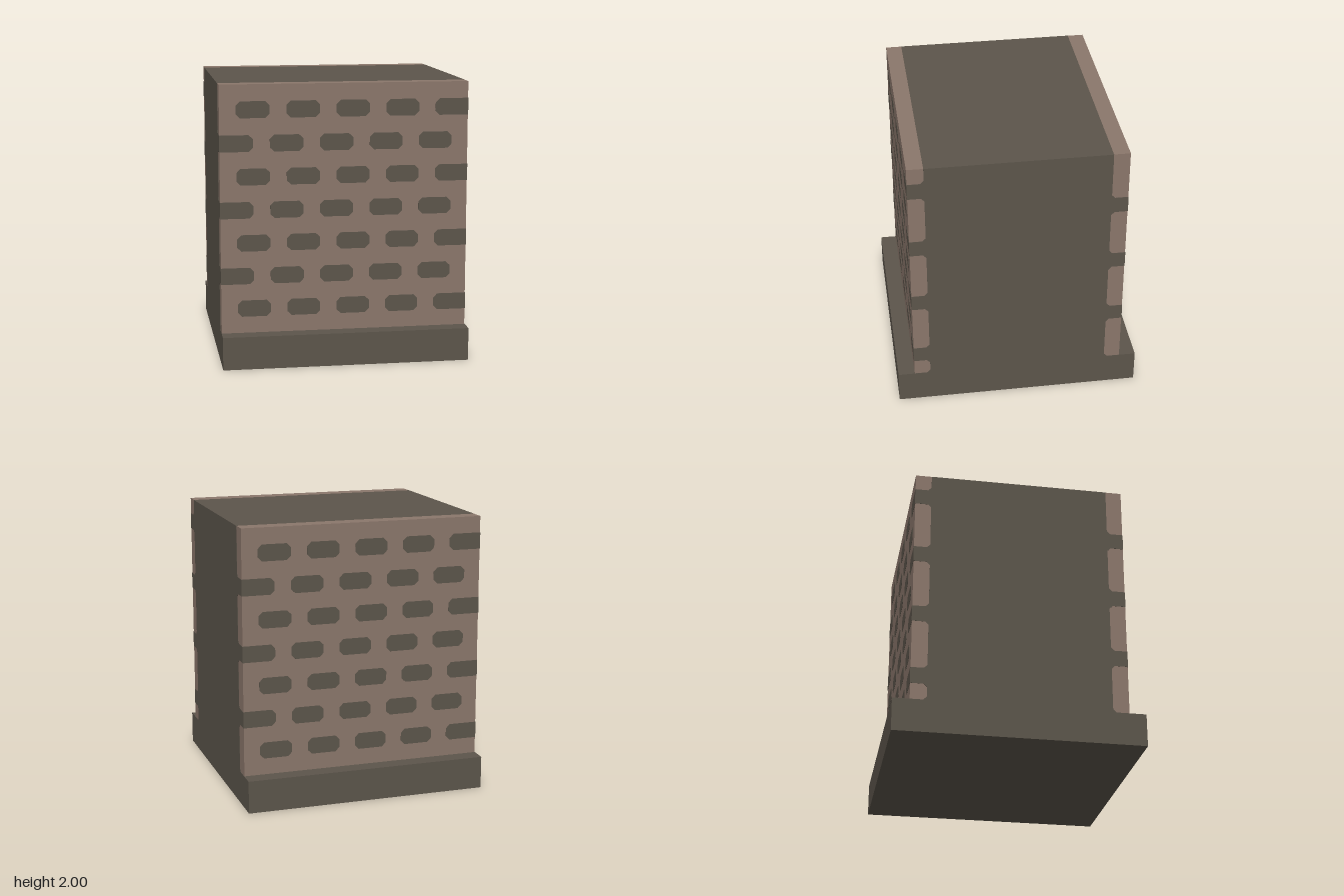
import * as THREE from 'three';

const U = 2 / 17;   // brick module: bricks are 2U wide and 1U high
const T = 0.002;    // thickness of the painted brick plates
const C = 0.25;     // corner cut of a brick, in modules
const S = 0.2;      // flare of a brick where it meets the side wall, in modules

const stone = new THREE.MeshStandardMaterial({ color: 0x5c554b });
stone.name = 'darkStone';
const mortar = new THREE.MeshStandardMaterial({ color: 0x8b776b });
mortar.name = 'lightMortar';

function box(name, material, w, h, d, y, z = 0) {
  const mesh = new THREE.Mesh(new THREE.BoxGeometry(w, h, d), material);
  mesh.name = name;
  mesh.position.set(0, y, z);
  return mesh;
}

// thin plate from a list of [x, y] corners given in modules
function plate(name, points) {
  const shape = new THREE.Shape(points.map(([x, y]) => new THREE.Vector2(x * U, y * U)));
  const geometry = new THREE.ExtrudeGeometry(shape, { depth: T, bevelEnabled: false });
  const mesh = new THREE.Mesh(geometry, stone);
  mesh.name = name;
  return mesh;
}

// brick outline; ends that reach the wall's edge stay square
function brickPoints(x0, x1, y0, y1) {
  const l = x0 <= -7.5 ? 0 : C, r = x1 >= 7.5 ? 0 : C;
  const left = l ? [[x0 + l, y1], [x0, y1 - l], [x0, y0 + l], [x0 + l, y0]] : [[x0, y1], [x0, y0]];
  const right = r ? [[x1 - r, y0], [x1, y0 + r], [x1, y1 - r], [x1 - r, y1]] : [[x1, y0], [x1, y1]];
  return [...left, ...right];
}

// plate on the end of the slab, corners given as [z, y] in modules
function endPlate(name, side, points) {
  const mesh = plate(name, points.map(([z, y]) => [-side * z, y]));
  mesh.rotation.y = side * Math.PI / 2;
  mesh.position.x = side * (7.5 * U - T);
  return mesh;
}

// one brick-patterned facing
function createFacing(name) {
  const group = new THREE.Group();
  group.name = name;
  group.add(box('mortarSlab', mortar, 15 * U - 2 * T, 15 * U, U - T, 9.5 * U, 6 * U - T / 2));

  for (let row = 0; row < 7; row++) {
    const y0 = 3 + row * 2, y1 = y0 + 1;
    const start = row % 2 ? -7.5 : -6.5;
    for (let i = 0; i < 5; i++) {
      const x0 = start + i * 3;
      const brick = plate('brick', brickPoints(x0, x0 + 2, y0, y1));
      brick.position.z = 6.5 * U - T;
      group.add(brick);
    }
    // the brick at the edge wraps round the corner and flares into the side wall
    group.add(endPlate('brickEnd', row % 2 ? -1 : 1, [
      [6.5, y0], [6.5, y1], [5.5 + S, y1], [5.5, y1 + S], [5.5, y0 - S], [5.5 + S, y0],
    ]));
  }
  // small corner fillets above the base
  for (const side of [-1, 1]) {
    group.add(endPlate('baseFillet', side, [[5.5, 2], [5.5 + S, 2], [5.5, 2 + S]]));
  }
  return group;
}

export function createModel() {
  const model = new THREE.Group();
  model.name = 'brickWallBlock';
  model.add(box('base', stone, 15 * U, 2 * U, 15 * U, U));
  model.add(box('core', stone, 15 * U, 15 * U, 11 * U, 9.5 * U));

  const front = createFacing('frontFacing');
  const back = createFacing('backFacing');
  back.rotation.y = Math.PI;
  model.add(front, back);
  return model;
}
